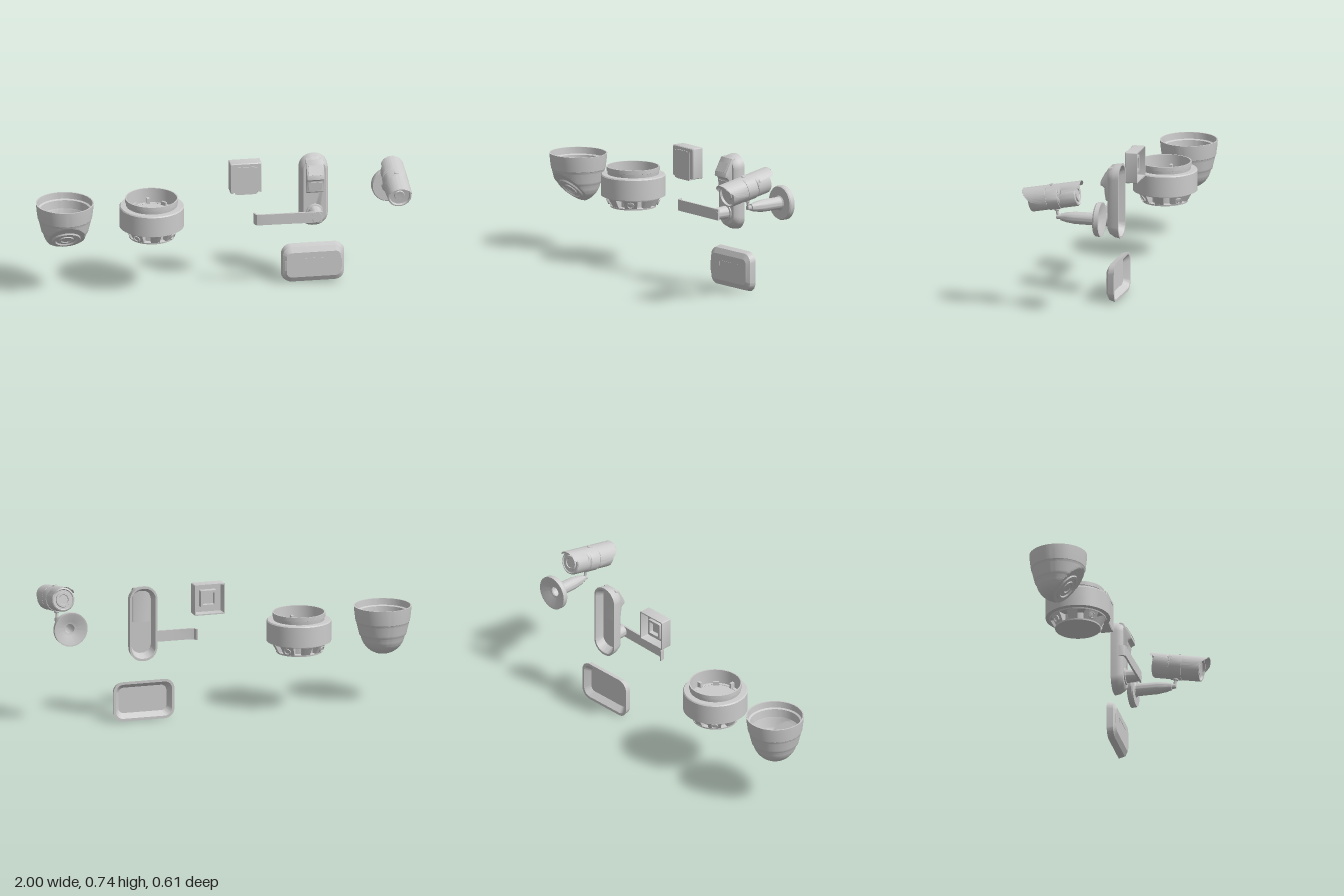
import * as THREE from 'three';
import { toCreasedNormals } from 'three/addons/utils/BufferGeometryUtils.js';

const grey = new THREE.MeshStandardMaterial({ color: 0xcccccc, side: THREE.DoubleSide });
const V2 = (a) => a.map(([x, y]) => new THREE.Vector2(x, y));

function add(parent, name, geo, x = 0, y = 0, z = 0, crease = 0.6) {
  const mesh = new THREE.Mesh(toCreasedNormals(geo, crease), grey);
  mesh.name = name;
  mesh.position.set(x, y, z);
  parent.add(mesh);
  return mesh;
}

function group(parent, name, x, y, z) {
  const g = new THREE.Group();
  g.name = name;
  g.position.set(x, y, z);
  parent.add(g);
  return g;
}

const box = (w, h, d) => new THREE.BoxGeometry(w, h, d);
const lathe = (pts, seg = 48, start = 0, len = Math.PI * 2) => new THREE.LatheGeometry(V2(pts), seg, start, len);
// Lathe profile [radius, z] turned around the z axis
const latheZ = (pts, seg = 40) => lathe(pts, seg).rotateX(Math.PI / 2);

// Loft through rounded rectangles [width, height, corner radius, z, yShift]; the last one is capped
function loft(rings, k = 8) {
  const pos = [], idx = [], n = 4 * (k + 1);
  for (const [w, h, r, z, cy = 0] of rings)
    for (let c = 0; c < 4; c++)
      for (let i = 0; i <= k; i++) {
        const a = (c + i / k) * Math.PI / 2;
        const sx = c === 0 || c === 3 ? 1 : -1, sy = c < 2 ? 1 : -1;
        pos.push(sx * (w / 2 - r) + r * Math.cos(a), cy + sy * (h / 2 - r) + r * Math.sin(a), z);
      }
  for (let i = 0; i < rings.length - 1; i++)
    for (let j = 0; j < n; j++) {
      const a = i * n + j, b = i * n + (j + 1) % n;
      idx.push(a, b, a + n, b, b + n, a + n);
    }
  const last = (rings.length - 1) * n;
  for (let j = 1; j < n - 1; j++) idx.push(last, last + j, last + j + 1);
  const g = new THREE.BufferGeometry();
  g.setAttribute('position', new THREE.Float32BufferAttribute(pos, 3));
  g.setIndex(idx);
  return g;
}

function domeCamera(root) {
  const g = group(root, 'domeCamera', -0.845, 0.385, -0.135);
  const n = new THREE.Vector3(0, -0.7, 0.714).normalize(), cut = 0.066;
  const pts = [];
  for (let i = 0; i <= 20; i++) {
    const a = -Math.PI / 2 + (i / 20) * 1.4;
    pts.push([0.12 * Math.cos(a), 0.12 * Math.sin(a)]);
  }
  pts.push([0.126, -0.012], [0.129, 0]);
  for (let i = 1; i <= 10; i++) pts.push([0.129 + 0.014 * i / 10, 0.06 * i / 10]);
  pts.push([0.146, 0.063], [0.152, 0.11], [0.155, 0.145], [0.148, 0.145], [0.145, 0.11], [0.135, 0.105], [0.131, 0.06]);
  // Slice the front of the shell flat where the eye sits
  const geo = lathe(pts, 96), p = geo.attributes.position, v = new THREE.Vector3();
  for (let i = 0; i < p.count; i++) {
    v.fromBufferAttribute(p, i);
    const over = v.dot(n) - cut;
    if (over > 0) v.addScaledVector(n, -over);
    p.setXYZ(i, v.x, v.y, v.z);
  }
  add(g, 'domeShell', geo);
  const eye = group(g, 'domeEye', 0, 0, 0);
  eye.position.copy(n).multiplyScalar(cut);
  eye.quaternion.setFromUnitVectors(new THREE.Vector3(0, 0, 1), n);
  add(eye, 'eyeRing', latheZ([[0.078, 0], [0.074, 0.008], [0.06, 0.01], [0.055, 0.003], [0.04, 0.003], [0.038, 0.009], [0.03, 0.009], [0.026, 0.004], [0, 0.006]]));
}

function ceilingDetector(root) {
  const g = group(root, 'ceilingDetector', -0.375, 0, -0.132);
  add(g, 'detectorBody', lathe([[0, 0.31], [0.122, 0.31], [0.123, 0.318], [0.098, 0.32], [0.098, 0.363], [0.15, 0.363], [0.152, 0.37],
    [0.173, 0.373], [0.173, 0.482], [0.168, 0.488], [0.137, 0.489], [0.139, 0.507], [0.142, 0.508], [0.142, 0.53], [0.135, 0.53], [0.133, 0.45], [0, 0.45]], 64), 0, 0, 0, 0.4);
  // Lower ring: four lens pods alternating with four vent fins
  for (let i = 0; i < 8; i++) {
    const pod = i % 2 === 1, half = pod ? 0.27 : 0.2;
    const arm = group(g, pod ? 'lensPod' : 'ventFin', 0, 0, 0);
    arm.rotation.y = i * Math.PI / 4;
    add(arm, 'block', lathe([[0.098, 0.318], [0.122, 0.318], [0.148, 0.364]], 8, -half, 2 * half));
    for (const s of [-1, 1]) {
      const side = new THREE.Shape(V2([[0.09, 0.318], [0.122, 0.318], [0.148, 0.364], [0.09, 0.364]]));
      add(arm, 'blockSide', new THREE.ShapeGeometry(side).rotateY(s * half - Math.PI / 2));
    }
    if (pod) {
      const lens = add(arm, 'podLens', latheZ([[0.02, -0.02], [0.02, 0.006], [0.015, 0.007], [0.013, 0.002], [0, 0.006]], 24), 0, 0.34, 0.134);
      lens.rotation.x = 0.4;
    }
    // Lugs inside the mounting collar
    if (pod) add(arm, 'mountLug', box(0.03, 0.02, 0.012), 0, 0.46, 0.112);
    else add(arm, 'collarTab', box(0.014, 0.03, 0.025), 0, 0.465, 0.121);
  }
  add(g, 'mountRing', new THREE.TorusGeometry(0.116, 0.003, 6, 48).rotateX(Math.PI / 2), 0, 0.451, 0);
}

function wallSwitch(root) {
  const g = group(root, 'wallSwitch', 0.126, 0.636, 0);
  add(g, 'switchBox', loft([[0.002, 0.002, 0.0005, -0.082], [0.155, 0.155, 0.003, -0.082], [0.155, 0.155, 0.003, -0.135],
    [0.17, 0.168, 0.005, -0.135], [0.17, 0.168, 0.005, -0.072], [0.162, 0.16, 0.005, -0.067]], 3));
  add(g, 'rocker', box(0.122, 0.15, 0.006), 0, -0.014, -0.067);
  add(g, 'rockerLip', box(0.105, 0.012, 0.02), 0, -0.088, -0.076);
  add(g, 'rockerSlot', box(0.09, 0.01, 0.006), 0, 0.06, -0.065);
  // Socket frame in the open back
  add(g, 'socketFrame', loft([[0.002, 0.002, 0.0005, -0.09], [0.065, 0.065, 0.003, -0.09], [0.065, 0.065, 0.003, -0.115],
    [0.09, 0.09, 0.004, -0.115], [0.09, 0.09, 0.004, -0.08]], 3));
}

function doorLock(root) {
  const g = group(root, 'doorLock', 0.497, 0, 0);
  add(g, 'lockShell', loft([[0.002, 0.002, 0.0005, -0.085, 0.53], [0.11, 0.34, 0.05, -0.085, 0.53], [0.135, 0.385, 0.062, -0.13, 0.53],
    [0.155, 0.41, 0.072, -0.13, 0.53], [0.153, 0.4, 0.07, -0.1, 0.53], [0.14, 0.375, 0.062, -0.075, 0.533], [0.122, 0.352, 0.052, -0.066, 0.535]], 10));
  // Reader head, a side profile [z, y] pulled across x
  const head = new THREE.Shape(V2([[-0.09, 0.722], [-0.068, 0.718], [-0.058, 0.702], [-0.024, 0.64], [-0.022, 0.62], [-0.036, 0.614], [-0.044, 0.605], [-0.052, 0.54], [-0.066, 0.53], [-0.09, 0.53]]));
  const side = new THREE.ExtrudeGeometry(head, { depth: 0.084, bevelSize: 0.006, bevelThickness: 0.006, bevelOffset: -0.006, bevelSegments: 2 });
  add(g, 'readerHead', side.rotateY(-Math.PI / 2), 0.042, 0, 0);
  const pad = add(g, 'readerPad', box(0.075, 0.055, 0.006), 0, 0.668, -0.04);
  pad.rotation.x = -0.5;
  add(g, 'readerWindow', box(0.07, 0.045, 0.006), 0, 0.574, -0.047).rotation.x = 0.12;
  // Lever hub and lever
  add(g, 'leverHub', latheZ([[0.046, -0.068], [0.044, -0.06], [0.036, -0.058], [0.031, 0.014], [0.028, 0.017], [0, 0.017]]), 0, 0.42, 0);
  const lever = new THREE.Shape(V2([[0.03, -0.016], [0.03, -0.006], [-0.2, 0], [-0.3, 0.002], [-0.322, 0.008], [-0.33, 0.03],
    [-0.338, 0.03], [-0.334, 0.008], [-0.325, -0.004], [-0.3, -0.008], [-0.2, -0.01], [-0.03, -0.016]]));
  const bar = new THREE.ExtrudeGeometry(lever, { depth: 0.06, bevelEnabled: false });
  add(g, 'lever', bar.rotateX(-Math.PI / 2), 0, 0.39, 0);
}

function alarmPanel(root) {
  const g = group(root, 'alarmPanel', 0.495, 0.109, 0);
  add(g, 'panelShell', loft([[0.002, 0.002, 0.0005, -0.1], [0.27, 0.14, 0.03, -0.1], [0.315, 0.188, 0.042, -0.131],
    [0.342, 0.217, 0.055, -0.131], [0.33, 0.198, 0.048, -0.098], [0.292, 0.14, 0.028, -0.083]], 8), 0, 0, 0, 0.3);
  add(g, 'displayLine', box(0.15, 0.004, 0.003), 0, 0.035, -0.083);
  for (const s of [-1, 1]) {
    add(g, 'displayEdge', box(0.003, 0.03, 0.003), s * 0.075, 0.022, -0.083);
    add(g, 'sideButton', box(0.01, 0.055, 0.014), s * 0.147, -0.002, -0.091);
  }
}

function bulletCamera(root) {
  const g = group(root, 'bulletCamera', 0.905, 0, 0);
  // Wall flange and tapering arm
  add(g, 'wallArm', latheZ([[0.026, -0.108], [0.04, -0.11], [0.084, -0.131], [0.093, -0.131], [0.093, -0.108], [0.088, -0.1],
    [0.04, -0.1], [0.034, -0.094], [0.033, 0.02], [0.026, 0.07], [0.02, 0.09], [0.019, 0.096], [0.013, 0.098], [0.012, 0.12], [0, 0.123]]), 0, 0.53, 0, 0.5);
  const post = add(g, 'swivelPost', lathe([[0.008, -0.01], [0.008, 0.03], [0.014, 0.034], [0.014, 0.05]], 20), 0, 0.532, 0.111);
  post.rotation.x = 0.19;
  const head = group(g, 'cameraHead', 0, 0.645, 0.1);
  head.rotation.x = 0.192;
  add(head, 'cameraBody', latheZ([[0, -0.098], [0.025, -0.098], [0.027, -0.103], [0.04, -0.103], [0.042, -0.096], [0.052, -0.096], [0.056, -0.1], [0.062, -0.097],
    [0.065, -0.09], [0.065, 0.16], [0.062, 0.165], [0.056, 0.165], [0.053, 0.152], [0.028, 0.15], [0.025, 0.156], [0.018, 0.156], [0, 0.153]]));
  // Sun hood: half-angle of the shell at each distance along the axis
  const edge = [[-0.13, 0.35], [-0.127, 0.75], [-0.115, 1.05], [-0.026, 1.14], [-0.007, 1.98], [0, 3.14], [0.063, 3.14], [0.065, 1.96],
    [0.1, 1.85], [0.148, 1.6], [0.17, 1.3], [0.187, 0.95], [0.194, 0.6], [0.196, 0.3]];
  const m = 40;
  for (const r of [0.0655, 0.068]) {
    const hood = new THREE.PlaneGeometry(1, 1, m, edge.length - 1), p = hood.attributes.position;
    edge.forEach(([u, half], i) => {
      for (let j = 0; j <= m; j++) {
        const a = half * (2 * j / m - 1);
        p.setXYZ(i * (m + 1) + j, r * Math.sin(a), r * Math.cos(a), u);
      }
    });
    add(head, r < 0.067 ? 'hoodLining' : 'sunHood', hood);
  }
  add(head, 'hoodScrew', lathe([[0.014, 0.06], [0.014, 0.07], [0.011, 0.073], [0, 0.073]], 20), 0, 0, 0.034);
}

export function createModel() {
  const root = new THREE.Group();
  root.name = 'securityDevices';
  [domeCamera, ceilingDetector, wallSwitch, doorLock, alarmPanel, bulletCamera].forEach((build) => build(root));
  return root;
}
